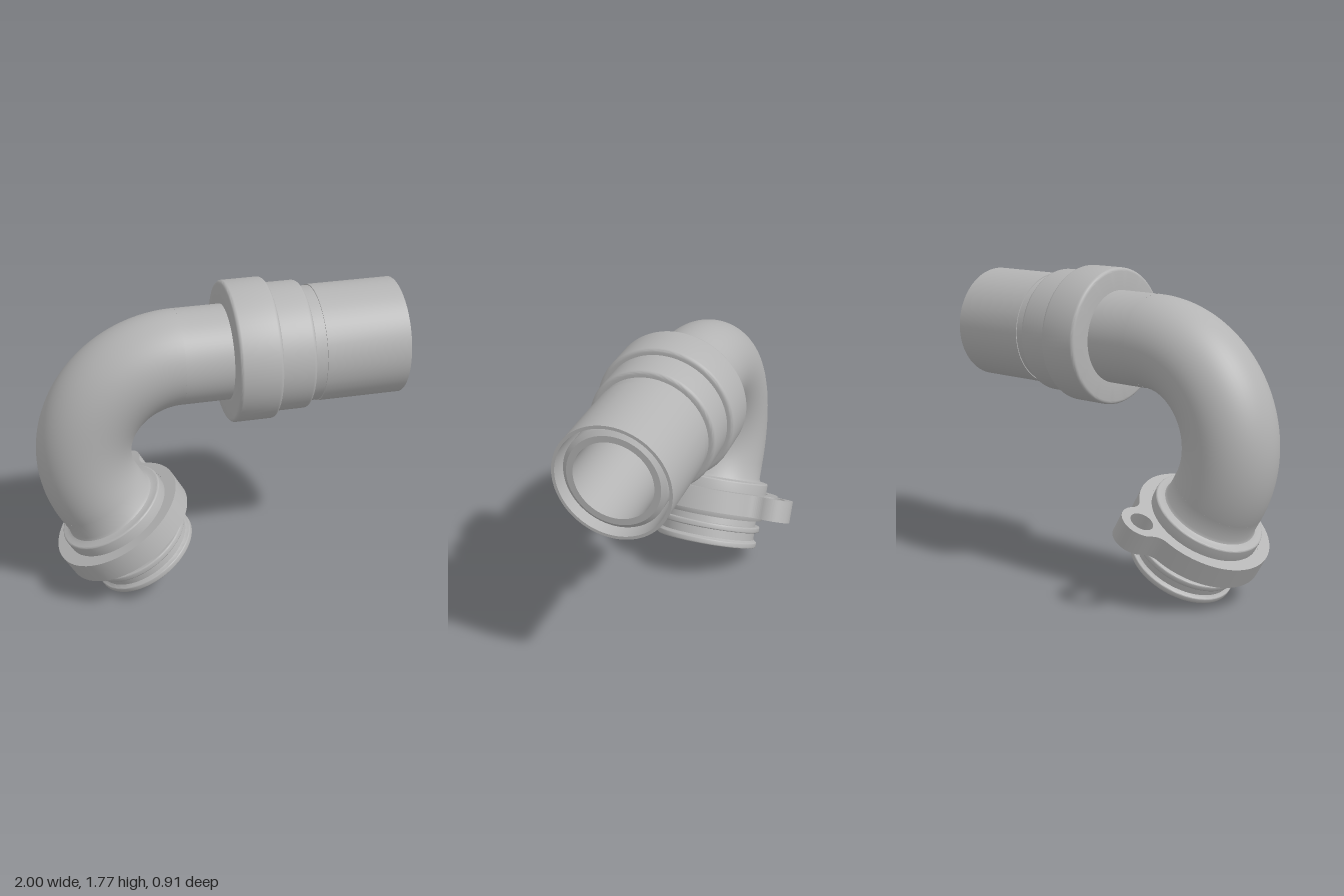
import * as THREE from 'three';
import { toCreasedNormals } from 'three/addons/utils/BufferGeometryUtils.js';

const AXIS_Z = 0.067;               // plane of the pipe centreline
const BEND = { x: -0.215, y: 0.87, r: 0.525 };
const OUTER = 0.26, BORE = 0.215;

const metal = new THREE.MeshStandardMaterial({ color: 0xb4b4b4, side: THREE.DoubleSide });
metal.name = 'grey metal';

function part(name, geometry, parent) {
  const mesh = new THREE.Mesh(geometry, metal);
  mesh.name = name;
  parent.add(mesh);
  return mesh;
}

// Turned part from [radius, position along axis] pairs
function turned(points) {
  const profile = points.map(([r, s]) => new THREE.Vector2(r, s));
  return toCreasedNormals(new THREE.LatheGeometry(profile, 80), 0.55);
}

// Quarter-round outer corner; rising = leaving a start face, otherwise entering an end face
function round(r, s, b, rising) {
  const out = [];
  for (let i = 0; i <= 4; i++) {
    const a = (i / 4) * Math.PI / 2;
    out.push(rising
      ? [r - b + b * Math.sin(a), s + b - b * Math.cos(a)]
      : [r - b + b * Math.cos(a), s - b + b * Math.sin(a)]);
  }
  return out;
}

// Flange outline: disc, filleted ear, centre hole and bolt hole
function flangeShape() {
  const R = 0.388, ear = 0.115, f = 0.08;
  const E = new THREE.Vector2(-0.127, -0.407);
  const D = E.length(), phi = Math.atan2(E.y, E.x);
  const alpha = Math.acos(((R + f) ** 2 + D * D - (ear + f) ** 2) / (2 * (R + f) * D));
  const fillet = (a) => {
    const c = new THREE.Vector2(Math.cos(a), Math.sin(a)).multiplyScalar(R + f);
    return { c, toEar: Math.atan2(E.y - c.y, E.x - c.x) };
  };
  const a1 = phi + alpha, a2 = phi - alpha;
  const f1 = fillet(a1), f2 = fillet(a2);
  const shape = new THREE.Shape();
  shape.absarc(0, 0, R, a1, a2 + 2 * Math.PI, false);
  shape.absarc(f2.c.x, f2.c.y, f, a2 + Math.PI, f2.toEar, true);
  shape.absarc(E.x, E.y, ear, f2.toEar + Math.PI, f1.toEar + Math.PI, false);
  shape.absarc(f1.c.x, f1.c.y, f, f1.toEar, a1 + Math.PI, true);
  for (const [x, y, r] of [[0, 0, 0.325], [E.x, E.y, 0.065]]) {
    const hole = new THREE.Path();
    hole.absarc(x, y, r, 0, Math.PI * 2, true);
    shape.holes.push(hole);
  }
  return shape;
}

export function createModel() {
  const model = new THREE.Group();
  model.name = 'pipeElbow';

  // Bent pipe, outside wall and bore
  const bend = new THREE.Group();
  bend.name = 'bend';
  bend.position.set(BEND.x, BEND.y, AXIS_Z);
  bend.rotation.z = Math.PI / 2;
  model.add(bend);
  for (const [name, r] of [['bendOuterWall', OUTER], ['bendBore', BORE]]) {
    part(name, new THREE.TorusGeometry(BEND.r, r, 56, 72, Math.PI * 2 / 3), bend);
  }

  // Horizontal arm: straight pipe, stepped coupling and hose sleeve
  const arm = new THREE.Group();
  arm.name = 'horizontalArm';
  arm.position.set(0, BEND.y + BEND.r, AXIS_Z);
  arm.rotation.z = -Math.PI / 2;
  model.add(arm);
  part('straightPipe', turned([
    [OUTER, BEND.x], [OUTER, 0.6], [0.275, 0.62], [0.275, 0.955], [0.25, 0.975],
    [BORE, 0.975], [BORE, BEND.x],
  ]), arm);
  part('coupling', turned([
    [0.255, 0.045], ...round(0.385, 0.045, 0.02, true), ...round(0.385, 0.28, 0.02, false),
    [0.35, 0.28], ...round(0.35, 0.47, 0.02, false), [0.31, 0.47],
  ]), arm);
  part('sleeve', turned([
    [0.314, 0.46], [0.314, 0.535], [0.319, 0.535], [0.319, 1], [0.302, 1],
    [0.302, 0.7], [0.27, 0.7],
  ]), arm);

  // Lower end, with local y running out along the pipe
  const end = new THREE.Group();
  end.name = 'flangedEnd';
  const a = Math.PI * 7 / 6;
  end.position.set(BEND.x + BEND.r * Math.cos(a), BEND.y + BEND.r * Math.sin(a), AXIS_Z);
  end.rotation.z = a;
  model.add(end);
  part('ribbedSpigot', turned([
    [OUTER, 0], [OUTER, 0.1], [0.268, 0.115], [0.285, 0.122], ...round(0.315, 0.122, 0.01, true),
    [0.315, 0.19], [0.33, 0.19], [0.33, 0.322], [0.315, 0.35], [0.28, 0.35],
    [0.28, 0.39], ...round(0.31, 0.39, 0.008, true), ...round(0.31, 0.425, 0.008, false),
    [0.285, 0.425], [0.285, 0.475], ...round(0.306, 0.485, 0.008, true),
    ...round(0.306, 0.52, 0.008, false), [0.285, 0.52], [0.28, 0.25], [BORE, 0],
  ]), end);
  const flange = part('flange', toCreasedNormals(new THREE.ExtrudeGeometry(flangeShape(), {
    depth: 0.13, bevelEnabled: false, curveSegments: 40,
  }), 0.55), end);
  flange.rotation.x = Math.PI / 2;
  flange.position.y = 0.317;

  return model;
}
